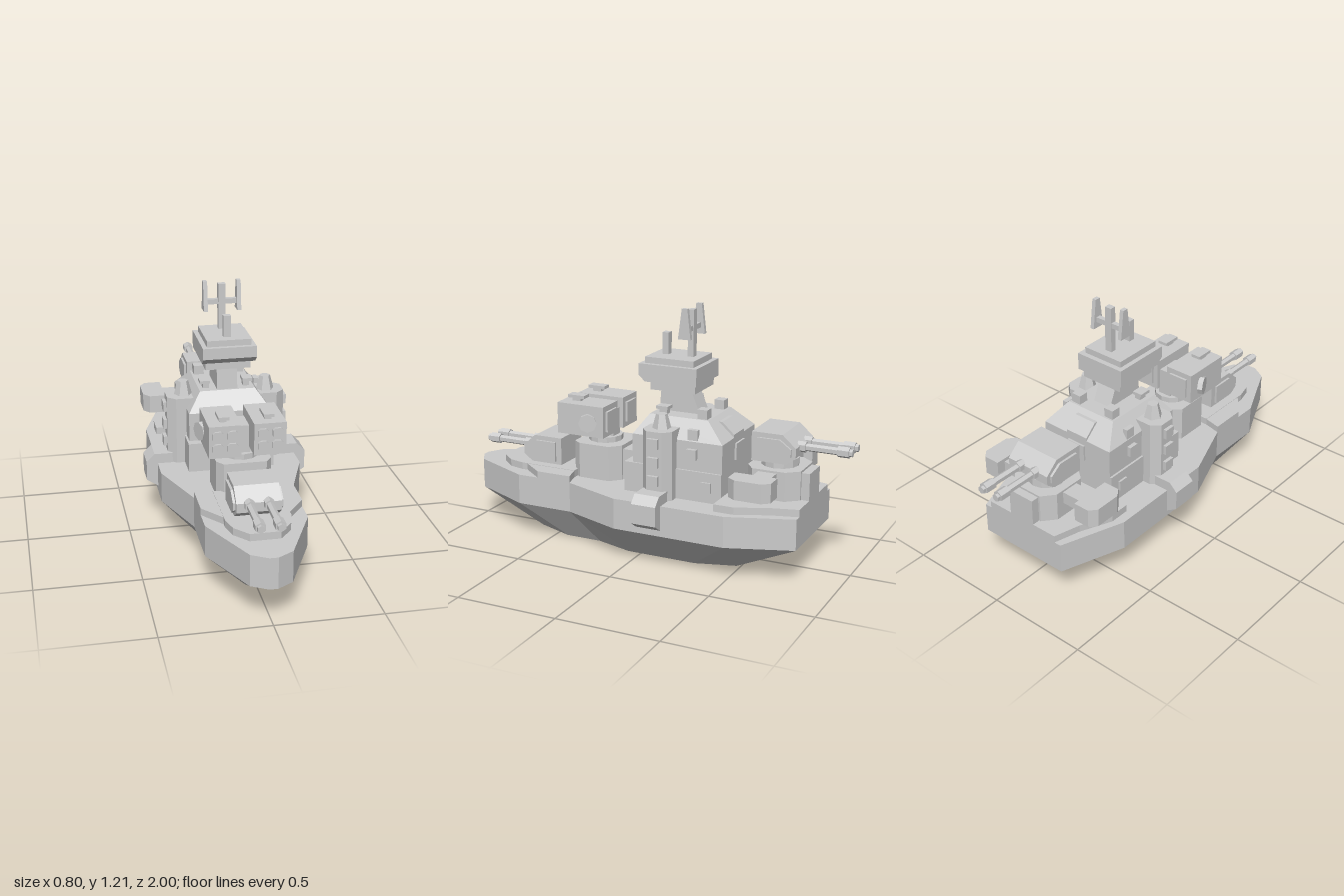
import * as THREE from 'three';

const mat = new THREE.MeshStandardMaterial({ color: 0xcccccc, flatShading: true, side: THREE.DoubleSide });

export function createModel() {
  const root = new THREE.Group();
  const add = (name, geo, parent = root) => {
    const m = new THREE.Mesh(geo, mat);
    m.name = name;
    parent.add(m);
    return m;
  };
  // Box given by its extents
  const box = (name, x0, x1, y0, y1, z0, z1, parent) => add(name,
    new THREE.BoxGeometry(x1 - x0, y1 - y0, z1 - z0).translate((x0 + x1) / 2, (y0 + y1) / 2, (z0 + z1) / 2), parent);
  const extrude = (pts, depth) => new THREE.ExtrudeGeometry(
    new THREE.Shape(pts.map(p => new THREE.Vector2(p[0], p[1]))), { depth, bevelEnabled: false });
  // Vertical prism from a plan outline of [x, z] points
  const plan = (name, pts, y0, y1, parent) => add(name,
    extrude(pts.map(([x, z]) => [x, -z]), y1 - y0).rotateX(-Math.PI / 2).translate(0, y0, 0), parent);
  const both = half => [...half, ...half.slice().reverse().map(([x, z]) => [-x, z])];
  // Side profile of [z, y] points, extruded across x
  const side = (name, pts, width, parent, x = 0) => add(name,
    extrude(pts, width).rotateY(-Math.PI / 2).translate(x + width / 2, 0, 0), parent);
  // Moves the vertices above or below a height by a rule
  const warp = (mesh, test, rule) => {
    const p = mesh.geometry.attributes.position;
    for (let i = 0; i < p.count; i++) {
      if (test(p.getY(i))) p.setXYZ(i, ...rule(p.getX(i), p.getY(i), p.getZ(i)));
    }
    mesh.geometry.computeVertexNormals();
    return mesh;
  };

  // Hull: straight topsides over a tapering bottom
  const outline = both([[0.02, 0.995], [0.095, 0.95], [0.235, 0.65], [0.235, 0.36], [0.345, 0.06], [0.345, -0.5], [0.235, -0.81]]);
  plan('hullTopsides', outline, 0.175, 0.325);
  warp(plan('hullBottom', outline, 0, 0.175), y => y < 0.05, (x, y, z) => [x * 0.52, y, 0.66 + 0.63 * (z - 1)]);

  // Raised deck plates
  plan('bowPlate', both([[0.07, 0.83], [0.13, 0.76], [0.15, 0.68], [0.15, 0.38]]), 0.325, 0.36);
  plan('sternPlate', both([[0.3, -0.43], [0.3, -0.53], [0.235, -0.68], [0.2, -0.81]]), 0.325, 0.36);
  for (const s of [-1, 1]) {
    plan('sideDeckPlate', [[0.15, 0.38], [0.235, 0.36], [0.235, 0.54], [0.15, 0.65]].map(([x, z]) => [x * s, z]), 0.325, 0.358);
  }

  // Superstructure with a chamfered roof
  box('superstructureBase', -0.21, 0.21, 0.325, 0.47, -0.43, 0.07);
  box('superstructureBody', -0.2, 0.2, 0.47, 0.61, -0.43, 0.03);
  warp(plan('superstructureRoof', both([[0.2, 0.03], [0.2, -0.43]]), 0.61, 0.7), y => y > 0.69,
    (x, y, z) => [x * 0.68, y, z > -0.2 ? -0.03 : -0.33]);
  side('rearRoofHatch', [[-0.33, 0.68], [-0.37, 0.68], [-0.43, 0.625], [-0.43, 0.58], [-0.33, 0.58]], 0.12);
  box('rearDoor', -0.05, 0.05, 0.5, 0.58, -0.44, -0.42);
  for (const s of [-1, 1]) {
    for (const [y, z, w] of [[0.64, -0.28, 0.05], [0.55, -0.28, 0.05], [0.4, -0.355, 0.05]]) {
      const panel = box('sidePanel', -0.012, 0.012, y - w / 2, y + w / 2, z - w / 2, z + w / 2);
      panel.position.x = s * (y > 0.6 ? 0.188 : 0.208);
    }
    box('roofBox', s * 0.1 - 0.025, s * 0.1 + 0.025, 0.68, 0.745, -0.32, -0.27);
    box('roofBoxLid', s * 0.105 - 0.025, s * 0.105 + 0.025, 0.725, 0.74, -0.12, -0.06);
    box('roofBoxStem', s * 0.1 - 0.015, s * 0.1 + 0.015, 0.69, 0.725, -0.11, -0.07);
  }

  // Side towers, each with a sponson, windows and a cone
  for (const s of [-1, 1]) {
    plan('sideTower', [[0.13, -0.2], [0.25, -0.2], [0.29, -0.165], [0.29, -0.085], [0.25, -0.05], [0.13, -0.05]]
      .map(([x, z]) => [x * s, z]), 0.325, 0.66);
    add('sponson', extrude([[0.27, 0.375], [0.36, 0.375], [0.4, 0.335], [0.4, 0.24], [0.345, 0.205], [0.27, 0.205]]
      .map(([x, y]) => [x * s, y]), 0.125).translate(0, 0, -0.185));
    for (const y of [0.605, 0.515, 0.425]) {
      box('towerWindow', s * 0.295 - 0.012, s * 0.295 + 0.012, y - 0.024, y + 0.024, -0.15, -0.095);
    }
    add('towerCone', new THREE.CylinderGeometry(0.027, 0.045, 0.07, 6).rotateY(Math.PI / 6).translate(s * 0.205, 0.693, -0.125));
  }

  // Bridge on its neck
  side('bridgeNeck', [[-0.04, 0.7], [-0.05, 0.82], [-0.2, 0.82], [-0.25, 0.7]], 0.1);
  box('bridgeFloor', -0.11, 0.11, 0.81, 0.86, -0.25, -0.02);
  side('bridgeCabin', [[0.0, 0.85], [0.033, 0.88], [0.033, 0.935], [-0.265, 0.935], [-0.265, 0.85]], 0.26);
  box('bridgeRoof', -0.107, 0.107, 0.935, 0.965, -0.24, 0.01);

  // Mast and aerials
  box('shortMast', -0.018, 0.018, 0.965, 1.07, -0.07, -0.038);
  box('mainMast', -0.018, 0.018, 0.965, 1.19, -0.2, -0.17);
  box('mastCrossbar', -0.08, 0.08, 1.09, 1.115, -0.197, -0.173);
  for (const s of [-1, 1]) {
    side('mastAerial', [[-0.153, 1.06], [-0.172, 1.205], [-0.2, 1.205], [-0.217, 1.06]], 0.02, root, s * 0.082);
  }

  // Launcher deckhouse
  box('deckhouseLink', -0.07, 0.07, 0.325, 0.48, 0.03, 0.2);
  plan('launcherDeckhouse', both([[0.1, 0.4], [0.13, 0.36], [0.13, 0.2], [0.08, 0.15]]), 0.325, 0.5);
  add('launcherPedestal', new THREE.CylinderGeometry(0.085, 0.085, 0.03, 12).translate(0, 0.512, 0.28));
  box('launcherPost', -0.035, 0.035, 0.5, 0.66, 0.22, 0.34);
  box('launcherAxle', -0.08, 0.08, 0.6, 0.65, 0.25, 0.31);

  // Twin launchers with four cells each
  for (const s of [-1, 1]) {
    const g = new THREE.Group();
    g.name = 'launcher';
    g.position.set(s * 0.104, 0.632, 0);
    root.add(g);
    box('launcherBox', -0.075, 0.075, -0.077, 0.077, 0.2, 0.45, g);
    for (const x of [-0.034, 0.034]) {
      for (const y of [-0.03, 0.03]) {
        const a = 0.024, b = 0.014;
        add('launcherCell', extrude([[a, b], [b, a], [-b, a], [-a, b], [-a, -b], [-b, -a], [b, -a], [a, -b]], 0.02)
          .translate(x, y, 0.442), g);
      }
    }
    box('launcherSightStem', -0.015, 0.015, 0.07, 0.098, 0.355, 0.4, g);
    box('launcherSight', -0.025, 0.025, 0.093, 0.108, 0.33, 0.42, g);
    box('launcherRearPanel', -0.05, 0.05, -0.05, 0.05, 0.188, 0.2, g);
    add('launcherHub', new THREE.CylinderGeometry(0.045, 0.045, 0.025, 8).rotateX(Math.PI / 8).rotateZ(Math.PI / 2)
      .translate(s * 0.082, -0.007, 0.28), g);
  }

  // Twin-gun turret, built facing forward
  const turret = (name, y, z, width) => {
    const g = new THREE.Group();
    g.name = name;
    g.position.set(0, y, z);
    root.add(g);
    side('turretHousing', [[-0.1, 0], [0.07, 0], [0.115, 0.035], [0.115, 0.08], [0.05, 0.138], [-0.1, 0.138]], width, g);
    for (const s of [-1, 1]) {
      side('turretCheek', [[-0.07, 0.015], [0.06, 0.015], [0.095, 0.04], [0.095, 0.075], [0.04, 0.115], [-0.07, 0.115]],
        0.015, g, s * (width / 2 + 0.004));
      for (const [part, r, z0, z1] of [['gunSleeve', 0.026, 0.1, 0.14], ['gunBarrel', 0.018, 0.1, 0.36], ['gunMuzzle', 0.026, 0.29, 0.345]]) {
        add(part, new THREE.CylinderGeometry(r, r, z1 - z0, 6).rotateX(Math.PI / 2).translate(s * 0.044, 0.073, (z0 + z1) / 2), g);
      }
    }
    return g;
  };
  turret('foreTurret', 0.36, 0.58, 0.205);
  turret('aftTurret', 0.535, -0.64, 0.235).rotation.y = Math.PI;

  // Aft turret base with outrigger pods
  plan('aftTurretBase', both([[0.08, -0.51], [0.13, -0.55], [0.13, -0.71], [0.08, -0.77]]), 0.36, 0.5);
  add('aftTurretRing', new THREE.CylinderGeometry(0.09, 0.09, 0.04, 12).translate(0, 0.517, -0.64));
  box('sternStep', -0.07, 0.07, 0.36, 0.49, -0.81, -0.75);
  for (const s of [-1, 1]) {
    box('podArm', s * 0.19 - 0.07, s * 0.19 + 0.07, 0.43, 0.49, -0.67, -0.58);
    plan('outriggerPod', [[0.24, -0.51], [0.32, -0.51], [0.35, -0.55], [0.35, -0.68], [0.32, -0.715], [0.24, -0.715]]
      .map(([x, z]) => [x * s, z]), 0.415, 0.507);
  }
  return root;
}
